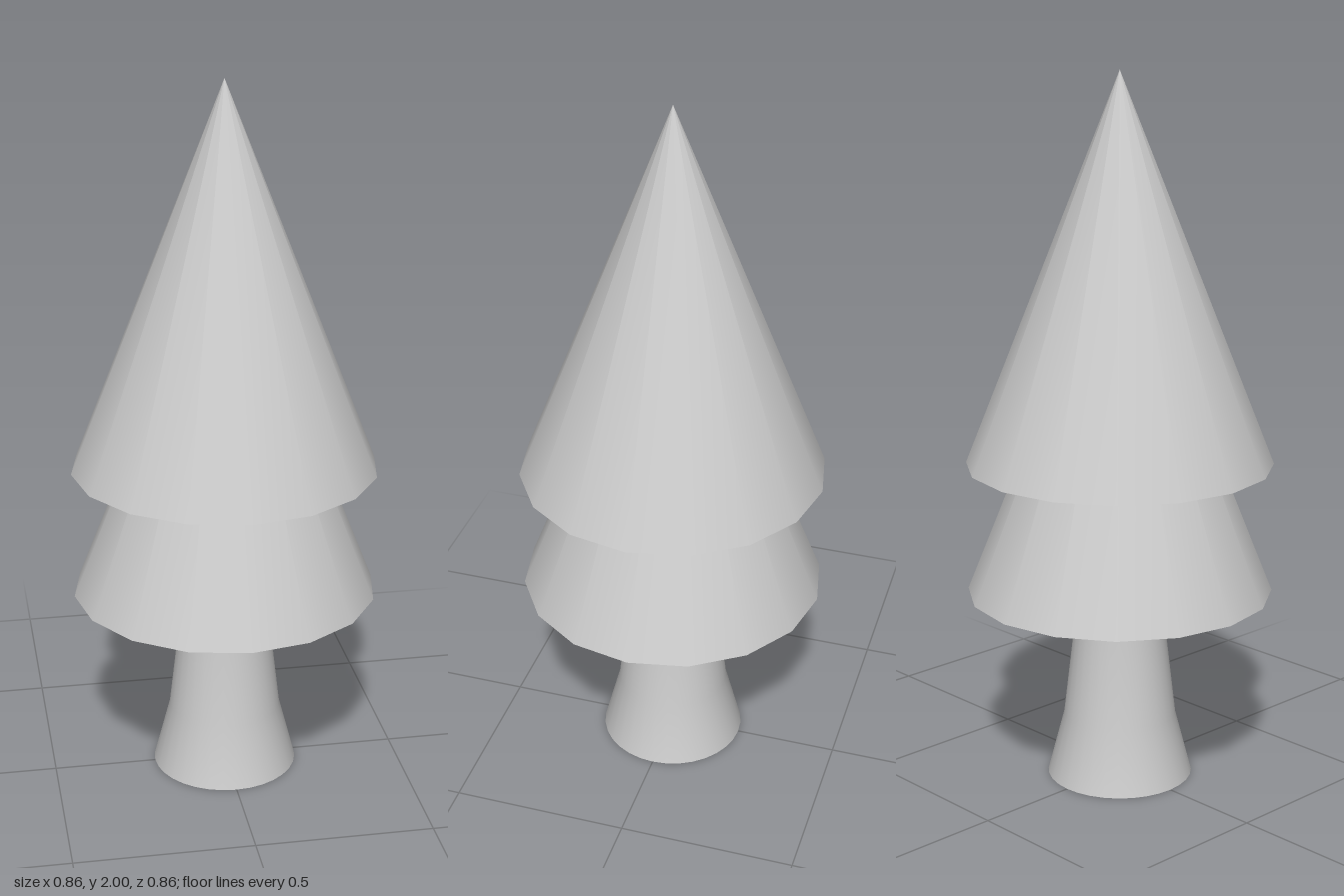
import * as THREE from 'three';
import { mergeGeometries } from 'three/addons/utils/BufferGeometryUtils.js';

const material = new THREE.MeshStandardMaterial({ color: 0xcccccc });

// Revolves each profile separately, so the edges between profiles stay sharp
function revolve(name, sides, profiles) {
  const strips = profiles.map((profile) =>
    new THREE.LatheGeometry(profile.map(([r, y]) => new THREE.Vector2(r, y)), sides));
  const mesh = new THREE.Mesh(mergeGeometries(strips), material);
  mesh.name = name;
  return mesh;
}

// Hollow conical tier: inner wall, flat underside rim, outer wall
function tier(name, baseY) {
  const outer = 0.43, inner = 0.345, height = 1.08;
  const innerTop = height * inner / outer;
  const mesh = revolve(name, 16, [
    [[0, innerTop], [inner, 0]],
    [[inner, 0], [outer, 0]],
    [[outer, 0], [0, height]],
  ]);
  mesh.position.y = baseY;
  return mesh;
}

export function createModel() {
  const tree = new THREE.Group();
  tree.name = 'tree';

  // Flared trunk, ending inside the lower tier
  tree.add(revolve('trunk', 32, [
    [[0, 0], [0.207, 0]],
    [[0.207, 0], [0.16, 0.18], [0.117, 0.55], [0.08, 1.2]],
    [[0.08, 1.2], [0, 1.2]],
  ]));

  // Two equal tiers, the upper one sheltering the tip of the lower
  tree.add(tier('lowerTier', 0.55), tier('upperTier', 0.92));
  return tree;
}
